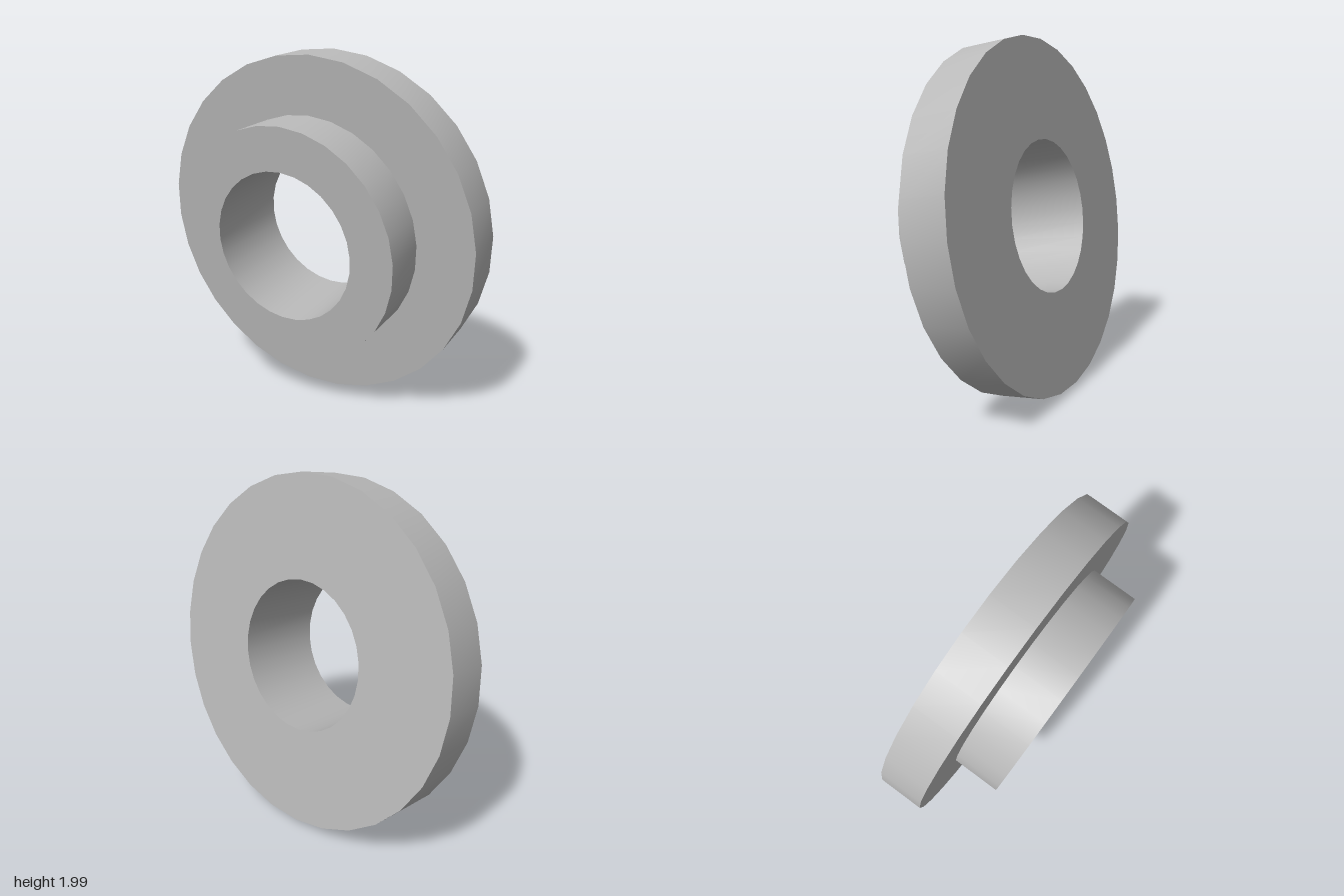
import * as THREE from 'three';
import { toCreasedNormals } from 'three/addons/utils/BufferGeometryUtils.js';

export function createModel() {
  const group = new THREE.Group();
  const grey = new THREE.MeshStandardMaterial({ color: 0xb8b8b8 });
  grey.name = 'grey';

  const discR = 0.9915, hubR = 0.671, boreR = 0.428;
  const discBack = -0.255, hubEnd = -0.531; // distances along the axis from the disc face

  // closed stepped section: outer side upwards, then down the bore
  const profile = [
    [boreR, hubEnd], [hubR, hubEnd], [hubR, discBack],
    [discR, discBack], [discR, 0], [boreR, 0], [boreR, hubEnd],
  ].map(([r, s]) => new THREE.Vector2(r, s));

  const bushing = new THREE.Mesh(
    toCreasedNormals(new THREE.LatheGeometry(profile, 30), 0.6), grey);
  bushing.name = 'flangedBushing';

  // tilt the axis towards +x, slightly up and back
  const axis = new THREE.Vector3(0.9815, 0.1355, -0.1355).normalize();
  const side = new THREE.Vector3().crossVectors(axis, new THREE.Vector3(0, 0, 1)).normalize();
  const forward = new THREE.Vector3().crossVectors(side, axis);
  bushing.quaternion.setFromRotationMatrix(new THREE.Matrix4().makeBasis(side, axis, forward));
  bushing.position.set(0.23, 1.0175, -0.0175);

  group.add(bushing);
  return group;
}
